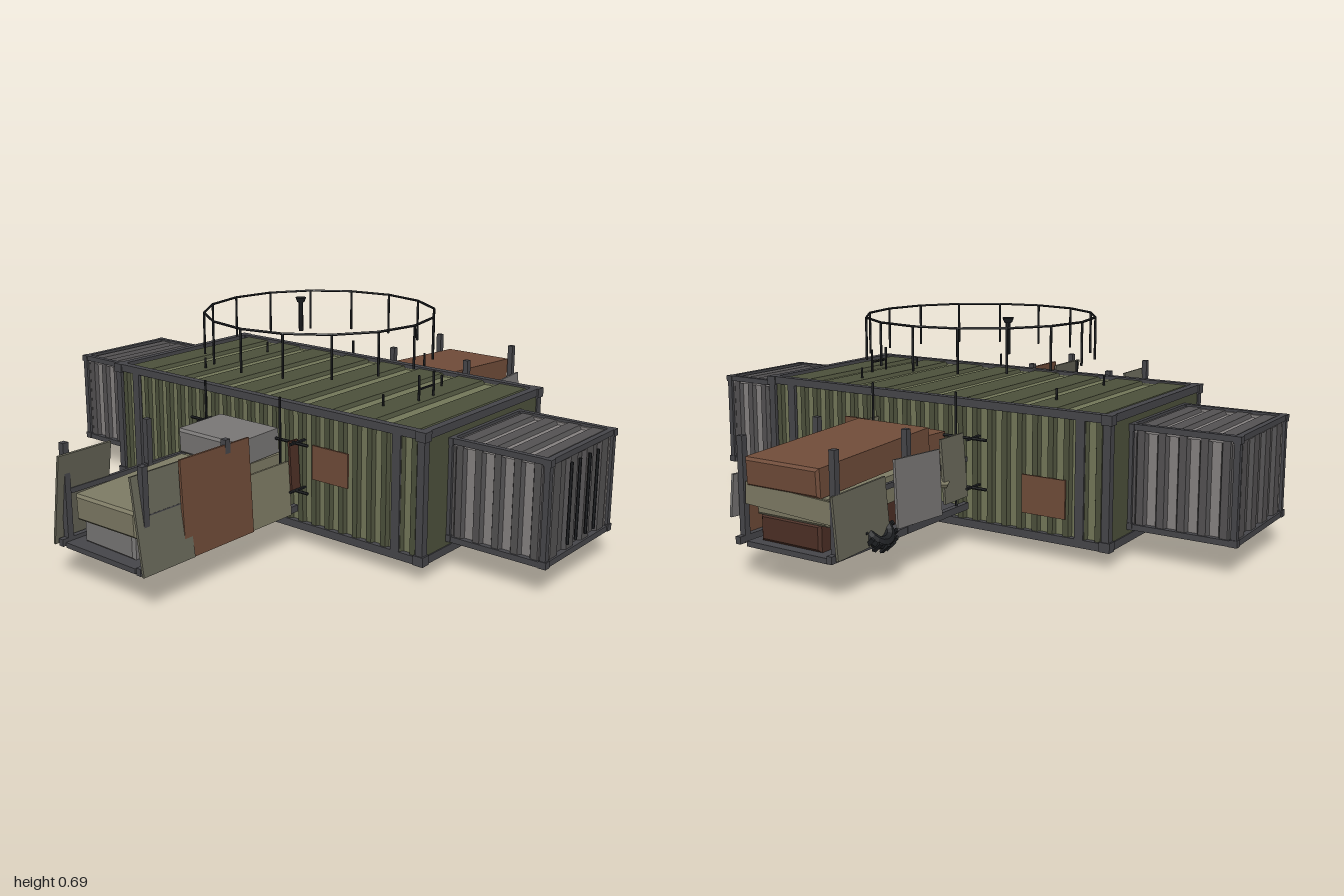
import * as THREE from 'three';

const mat = (color) => new THREE.MeshStandardMaterial({ color, flatShading: true, side: THREE.DoubleSide });
const M = {
  olive: mat(0x4c503b), oliveLight: mat(0x737759), under: mat(0x33362a),
  grey: mat(0x535152), greyLight: mat(0x868281), frame: mat(0x46464a),
  black: mat(0x1e2023), khaki: mat(0x7d7a64), sheet: mat(0x686759),
  steel: mat(0x787675), rust: mat(0x704c39), rustDark: mat(0x4c2f25),
};

function add(parent, name, geo, m, pos = [0, 0, 0], rot = [0, 0, 0]) {
  const mesh = new THREE.Mesh(geo, m);
  mesh.name = name;
  mesh.position.set(...pos);
  mesh.rotation.set(...rot);
  parent.add(mesh);
  return mesh;
}
const box = (p, name, m, size, pos, rot) => add(p, name, new THREE.BoxGeometry(...size), m, pos, rot);

// Round bar between two points
function bar(p, name, a, b, r = 0.004, m = M.black) {
  const A = new THREE.Vector3(...a), B = new THREE.Vector3(...b), d = B.clone().sub(A);
  const mesh = add(p, name, new THREE.CylinderGeometry(r, r, d.length(), 6), m, A.clone().lerp(B, 0.5).toArray());
  mesh.quaternion.setFromUnitVectors(new THREE.Vector3(0, 1, 0), d.normalize());
}

// Soft-edged cargo bundle
function bundle(p, name, m, [w, h, d], pos, rot) {
  const b = 0.008, s = new THREE.Shape();
  const x = w / 2 - b, y = h / 2 - b;
  s.moveTo(-x, -y).lineTo(x, -y).lineTo(x, y).lineTo(-x, y).closePath();
  const g = new THREE.ExtrudeGeometry(s, { depth: d - 2 * b, bevelSize: b, bevelThickness: b, bevelSegments: 1 });
  g.translate(0, 0, b - d / 2);
  add(p, name, g, m, pos, rot);
}

// Ribbed panel: flat plate with raised trapezoid ribs along z, facing +y
function ribbed(name, len, run, n, light, dark, duty = 0.62, depth = 0.012) {
  const g = new THREE.Group();
  g.name = name;
  box(g, 'panelPlate', light, [len, 0.008, run], [0, -0.004 - depth, 0]);
  const pitch = len / n, w = pitch * duty / 2, t = Math.min(0.008, w * 0.4);
  const s = new THREE.Shape();
  s.moveTo(-w, -depth).lineTo(w, -depth).lineTo(w - t, 0).lineTo(-w + t, 0).closePath();
  const rib = new THREE.ExtrudeGeometry(s, { depth: run, bevelEnabled: false }).translate(0, 0, -run / 2);
  for (let i = 0; i < n; i++) add(g, 'panelRib', rib, dark, [-len / 2 + (i + 0.5) * pitch, 0, 0]);
  return g;
}

// Container spanning the given box, with frame, corner blocks and ribbed walls
function container(name, [x0, x1], [y0, y1], hz, o) {
  const g = new THREE.Group();
  g.name = name;
  const L = x1 - x0, H = y1 - y0, cx = (x0 + x1) / 2, cy = (y0 + y1) / 2, f = o.beam, e = 0.006;
  box(g, 'containerCore', o.core, [L - 0.05, H - 0.03, 2 * hz - 0.05], [cx, cy - 0.005, 0]);
  const roof = ribbed('roof', L - f, 2 * hz - f, o.roofRibs, o.light, o.dark, 0.7);
  roof.position.set(cx, y1 - e, 0);
  g.add(roof);
  for (const s of [1, -1]) {
    const wall = ribbed('sideWall', L - f, H - f, o.wallRibs, o.light, o.dark, 0.58);
    wall.rotation.set(s * Math.PI / 2, 0, 0);
    wall.position.set(cx, cy, s * (hz - e));
    g.add(wall);
    const ex = cx + s * (L / 2 - f / 2);
    if (o.endRibs) {
      const holder = new THREE.Group();
      const end = ribbed('endWall', 2 * hz - f, H - f, o.endRibs, o.dark, o.dark, 0.6);
      end.rotation.x = Math.PI / 2;
      holder.name = 'end';
      holder.add(end);
      holder.rotation.y = s * Math.PI / 2;
      holder.position.set(cx + s * (L / 2 - e), cy, 0);
      g.add(holder);
    } else box(g, 'endWall', o.dark, [0.012, H - f, 2 * hz - f], [cx + s * (L / 2 - 0.01), cy, 0]);
    for (const t of [1, -1]) {
      const ez = t * (hz - f / 2), ey = cy + t * (H / 2 - f / 2);
      box(g, 'cornerPost', M.frame, [f, H, f], [ex, cy, ez]);
      box(g, 'longBeam', M.frame, [L, f, f], [cx, ey, s * (hz - f / 2)]);
      box(g, 'crossBeam', M.frame, [f, f, 2 * hz], [ex, ey, 0]);
      for (const y of [y0, y1]) {
        box(g, 'cornerBlock', M.frame, [f * 1.4, f * 1.2, f * 1.3],
          [ex, y + (y === y0 ? f * 0.6 : -f * 0.6), ez]);
      }
    }
  }
  return g;
}

// Deck, rails and posts shared by both walkways
function walkway(name, s) {
  const g = new THREE.Group();
  g.name = name;
  box(g, 'deck', M.frame, [0.3, 0.016, 0.65], [0, 0.112, s * 0.655]);
  for (const x of [-0.16, 0.175]) {
    box(g, 'sideRail', M.frame, [0.018, 0.022, 0.66], [x, 0.12, s * 0.66]);
    box(g, 'upperRail', M.frame, [0.012, 0.016, 0.64], [x, 0.27, s * 0.65]);
    for (const z of [0.64, 0.96]) box(g, 'railPost', M.frame, [0.02, 0.31, 0.02], [x, 0.265, s * z]);
  }
  // Mounting bars against the container wall
  for (const y of [0.19, 0.345]) {
    bar(g, 'mountBar', [-0.255, y, s * 0.36], [0.25, y, s * 0.36], 0.005);
    for (const x of [-0.2, 0.2]) bar(g, 'mountPeg', [x, y, s * 0.31], [x, y, s * 0.385], 0.005);
  }
  for (const x of [-0.16, 0.16]) bar(g, 'mountRod', [x, 0.12, s * 0.385], [x, 0.49, s * 0.385]);
  return g;
}

// Leaning side sheet: z range, y range, side sign
function sheet(p, m, side, [za, zb], [ya, yb], x = 0.185, lean = 0.06, twist = 0) {
  box(p, 'sideSheet', m, [0.008, yb - ya, Math.abs(zb - za)],
    [side * x, (ya + yb) / 2, (za + zb) / 2], [twist, 0, side * lean]);
}

function tire(p, z) {
  const g = new THREE.Group();
  g.name = 'spareTire';
  add(g, 'tireRing', new THREE.TorusGeometry(0.042, 0.019, 8, 16), M.black);
  for (let i = 0; i < 14; i++) {
    const a = i / 14 * Math.PI * 2;
    box(g, 'tread', M.black, [0.008, 0.012, 0.036], [0.06 * Math.cos(a), 0.06 * Math.sin(a), 0], [0, 0, a]);
  }
  g.position.set(-0.165, 0.155, z);
  g.rotation.set(0.75, Math.PI / 2, 0, 'YXZ');
  p.add(g);
}

export function createModel() {
  const root = new THREE.Group();
  root.name = 'containerOutpost';

  // Main and end containers
  root.add(container('mainContainer', [-0.66, 0.66], [0.05, 0.46], 0.33,
    { beam: 0.025, core: M.under, light: M.oliveLight, dark: M.olive, roofRibs: 8, wallRibs: 24 }));
  for (const s of [1, -1]) {
    const span = s > 0 ? [0.65, 0.99] : [-1, -0.65];
    root.add(container('endContainer', span, [0.09, 0.415], 0.2,
      { beam: 0.018, core: M.grey, light: M.greyLight, dark: M.grey, roofRibs: 4, wallRibs: 5, endRibs: 4 }));
    for (const x of [-0.56, 0.56]) box(root, 'wallPost', M.frame, [0.03, 0.39, 0.012], [x, 0.255, s * 0.324]);
  }
  for (const z of [-0.08, -0.03, 0.03, 0.08]) bar(root, 'doorRod', [0.993, 0.13, z], [0.993, 0.38, z], 0.005);

  // Rust patches on the long walls
  box(root, 'wallPatch', M.rust, [0.14, 0.11, 0.006], [0.315, 0.285, 0.331]);
  box(root, 'wallPatch', M.rust, [0.12, 0.11, 0.006], [0.26, 0.3, -0.331]);
  box(root, 'wallPatch', M.rust, [0.15, 0.12, 0.006], [-0.44, 0.19, -0.331]);

  // Ring rail with posts
  const R = 0.385, N = 16;
  add(root, 'ringRail', new THREE.TorusGeometry(R, 0.004, 6, N), M.black, [0, 0.68, 0], [Math.PI / 2, 0, 0]);
  for (let i = 0; i < N; i++) {
    const a = i / N * Math.PI * 2, x = R * Math.cos(a), z = R * Math.sin(a);
    bar(root, 'ringPost', [x, 0.54, z], [x, 0.68, z]);
  }
  for (const x of [-0.385, 0.385]) for (const z of [-0.16, 0.16]) bar(root, 'roofStub', [x, 0.45, z], [x, 0.49, z]);

  // Beacon post
  add(root, 'beaconPost', new THREE.CylinderGeometry(0.008, 0.008, 0.11, 8), M.black, [-0.17, 0.628, -0.1]);
  add(root, 'beaconCap', new THREE.CylinderGeometry(0.019, 0.013, 0.016, 10), M.black, [-0.17, 0.683, -0.1]);

  // Hatch ladder
  for (const z of [-0.04, 0.04]) bar(root, 'ladderRail', [0.435, 0, z], [0.435, 0.535, z]);
  for (const y of [0.02, 0.49]) bar(root, 'ladderRung', [0.435, y, -0.04], [0.435, y, 0.04]);

  // Front walkway with cargo and side sheets
  const front = walkway('frontWalkway', 1);
  bundle(front, 'cargoBundle', M.steel, [0.25, 0.08, 0.2], [-0.005, 0.333, 0.44], [0.03, 0, 0]);
  bundle(front, 'cargoBundle', M.khaki, [0.25, 0.08, 0.44], [0.015, 0.245, 0.75], [0.03, 0.02, 0]);
  bundle(front, 'cargoBundle', M.steel, [0.22, 0.08, 0.5], [0, 0.158, 0.69], [0, -0.02, 0]);
  bundle(front, 'cargoBundle', M.khaki, [0.24, 0.08, 0.2], [0, 0.25, 0.43]);
  sheet(front, M.sheet, 1, [0.8, 0.995], [0.11, 0.395], 0.18, 0.14);
  sheet(front, M.rust, 1, [0.55, 0.83], [0.11, 0.405], 0.187, 0.05);
  sheet(front, M.khaki, 1, [0.37, 0.56], [0.11, 0.285], 0.183);
  sheet(front, M.rustDark, 1, [0.335, 0.375], [0.19, 0.35], 0.19);
  sheet(front, M.sheet, -1, [0.8, 0.995], [0.11, 0.39], 0.165, 0.14);
  sheet(front, M.steel, -1, [0.6, 0.8], [0.12, 0.27], 0.17, 0.05);
  tire(front, 0.46);
  add(front, 'drumLid', new THREE.CylinderGeometry(0.038, 0.038, 0.012, 8), M.khaki, [-0.155, 0.22, 0.72], [0, 0, 0.3]);
  root.add(front);

  // Rear walkway with cargo and side sheets
  const back = walkway('rearWalkway', -1);
  bundle(back, 'cargoBundle', M.rust, [0.27, 0.085, 0.52], [0.02, 0.333, -0.715], [-0.05, 0, 0]);
  bundle(back, 'cargoBundle', M.rust, [0.25, 0.08, 0.1], [0.03, 0.315, -0.385], [0, -0.08, 0]);
  bundle(back, 'cargoBundle', M.khaki, [0.26, 0.08, 0.58], [0, 0.245, -0.67], [-0.03, 0, 0]);
  bundle(back, 'cargoBundle', M.rustDark, [0.22, 0.08, 0.55], [0.01, 0.16, -0.68]);
  box(back, 'endBoard', M.khaki, [0.32, 0.065, 0.008], [0, 0.25, -0.965], [0, 0, 0.05]);
  sheet(back, M.khaki, 1, [-0.45, -0.335], [0.18, 0.37], 0.187);
  sheet(back, M.sheet, 1, [-0.7, -0.42], [0.11, 0.28], 0.18, 0.05, -0.03);
  sheet(back, M.rust, 1, [-0.94, -0.65], [0.12, 0.285], 0.187, 0.05, -0.06);
  sheet(back, M.steel, 1, [-0.99, -0.79], [0.18, 0.305], 0.193, 0.05, 0.06);
  sheet(back, M.steel, -1, [-0.72, -0.5], [0.14, 0.34], 0.18, 0.08, 0.05);
  sheet(back, M.sheet, -1, [-0.98, -0.75], [0.12, 0.3], 0.172, 0.06, -0.04);
  sheet(back, M.sheet, -1, [-0.48, -0.36], [0.16, 0.36], 0.175, 0.08);
  tire(back, -0.79);
  add(back, 'drumLid', new THREE.CylinderGeometry(0.03, 0.03, 0.012, 8), M.khaki, [-0.165, 0.23, -0.48], [0, 0, 0.4]);
  root.add(back);

  // Small valve wheel under the front walkway
  add(root, 'valveWheel', new THREE.TorusGeometry(0.02, 0.004, 6, 14), M.black, [0, 0.063, 0.44]);
  bar(root, 'valveStem', [0, 0.063, 0.32], [0, 0.063, 0.445], 0.005);
  return root;
}
